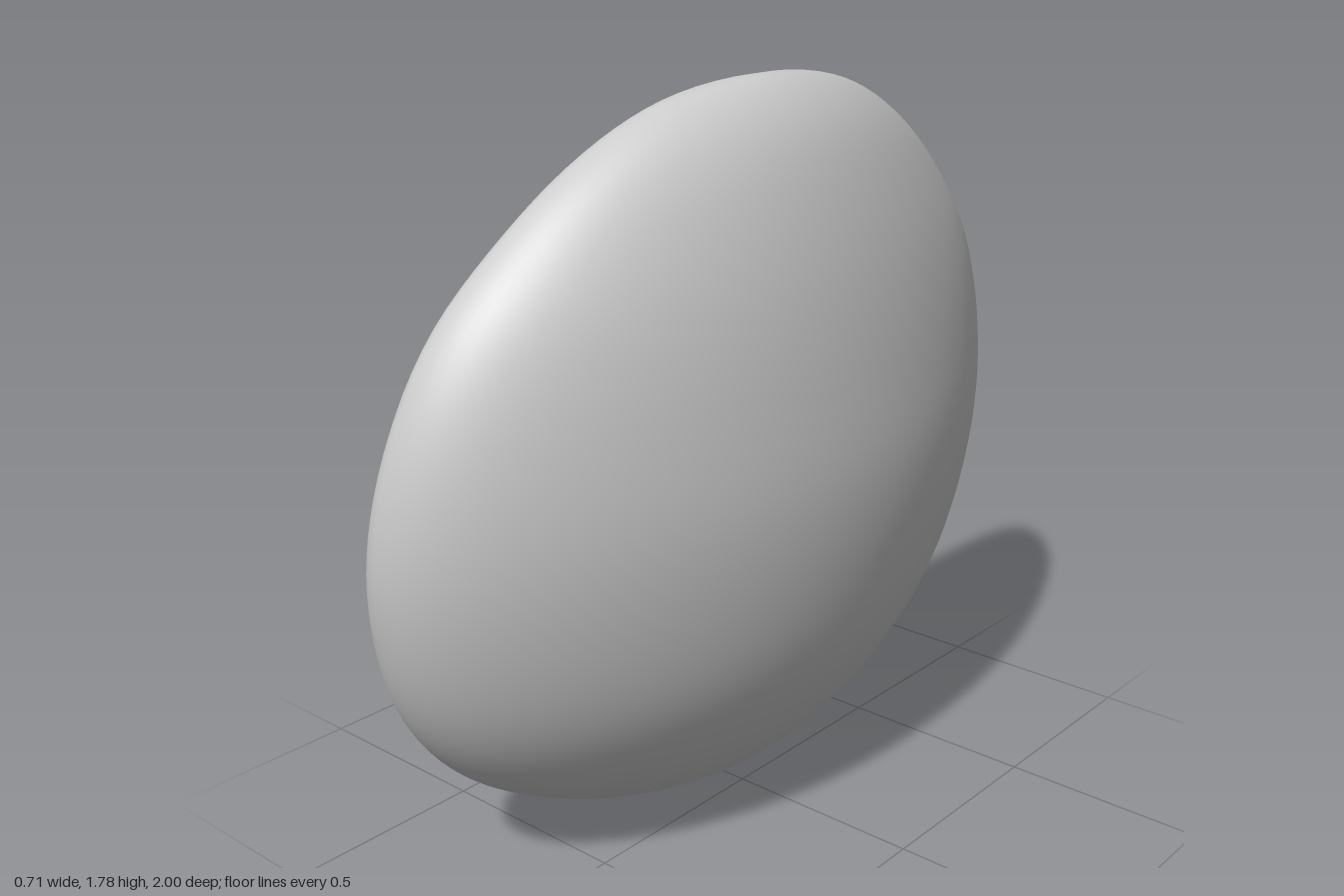
import * as THREE from 'three';
import { mergeVertices } from 'three/addons/utils/BufferGeometryUtils.js';

// Profile from bottom to top, one row per 15 degrees of the height arc:
// hollow side x, rim x, domed side x, half width in z
const ROWS = [
  [-0.18, -0.18, -0.18, 0],
  [-0.28, -0.19, -0.05, 0.26],
  [-0.325, -0.2, 0.08, 0.51],
  [-0.36, -0.19, 0.195, 0.735],
  [-0.35, -0.17, 0.285, 0.885],
  [-0.305, -0.145, 0.335, 0.97],
  [-0.245, -0.12, 0.355, 1],
  [-0.185, -0.09, 0.34, 0.965],
  [-0.135, -0.06, 0.31, 0.865],
  [-0.09, -0.02, 0.265, 0.69],
  [-0.05, 0.015, 0.21, 0.49],
  [0, 0.045, 0.14, 0.27],
  [0.07, 0.07, 0.07, 0],
];
const HALF_HEIGHT = 0.89;

const spline = (toPoint) => new THREE.CatmullRomCurve3(ROWS.map(toPoint), false, 'catmullrom', 0.5);

function createPebbleGeometry() {
  const sides = spline(([a, b, c]) => new THREE.Vector3(a, b, c));
  const widths = spline((r) => new THREE.Vector3(r[3], 0, 0));

  const sphere = new THREE.SphereGeometry(1, 96, 64);
  const pos = sphere.attributes.position;
  for (let i = 0; i < pos.count; i++) {
    const y = THREE.MathUtils.clamp(pos.getY(i), -1, 1);
    const t = Math.acos(-y) / Math.PI;
    const ring = Math.sqrt(1 - y * y);
    const c = ring > 1e-4 ? pos.getX(i) / ring : 0;
    const u = ring > 1e-4 ? pos.getZ(i) / ring : 0;
    const { x: hollow, y: rim, z: dome } = sides.getPoint(t);

    let x;
    if (c >= 0) {
      // Domed side
      x = rim + (dome - rim) * c * (1 - 0.12 * u * u);
    } else {
      // Fuller side with a shallow dish in the middle
      const s = ring * ring;
      const dish = 1 - (0.25 + 0.3 * s) * (1 - u * u) ** 2;
      x = rim + (hollow - rim) * -c * Math.sqrt(1 + u * u) * dish * (1.19 + 0.13 * s);
    }
    pos.setXYZ(i, x, HALF_HEIGHT * (1 + y), u * widths.getPoint(t).x);
  }

  // Weld the seam so the shading is smooth all round
  sphere.deleteAttribute('uv');
  sphere.deleteAttribute('normal');
  const geometry = mergeVertices(sphere, 1e-4);
  geometry.computeVertexNormals();
  return geometry;
}

export function createModel() {
  const group = new THREE.Group();
  group.name = 'dishedPebble';
  const body = new THREE.Mesh(
    createPebbleGeometry(),
    new THREE.MeshStandardMaterial({ color: 0xcccccc })
  );
  body.name = 'body';
  group.add(body);
  return group;
}
